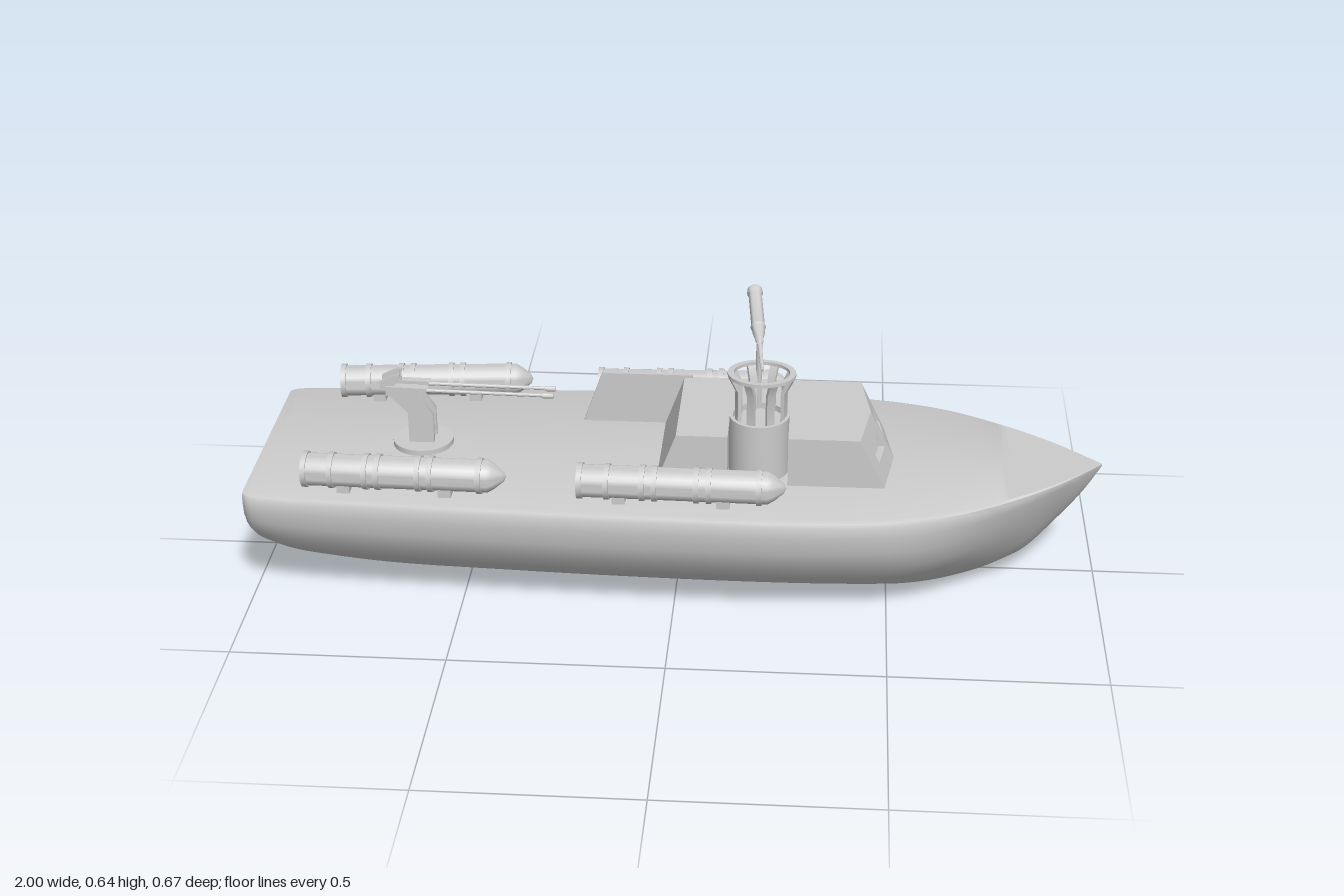
import * as THREE from 'three';
import { toCreasedNormals } from 'three/addons/utils/BufferGeometryUtils.js';

const V = (x, y, z) => new THREE.Vector3(x, y, z);
const material = new THREE.MeshStandardMaterial({ color: 0xcccccc, side: THREE.DoubleSide });

function part(name, geometry, parent) {
  const mesh = new THREE.Mesh(toCreasedNormals(geometry, 0.6), material);
  mesh.name = name;
  parent.add(mesh);
  return mesh;
}

// Flat outline in x,y extruded between two z values
function plate(name, points, z0, z1, parent) {
  const shape = new THREE.Shape(points.map(([x, y]) => new THREE.Vector2(x, y)));
  const geo = new THREE.ExtrudeGeometry(shape, { depth: z1 - z0, bevelEnabled: false });
  geo.translate(0, 0, z0);
  return part(name, geo, parent);
}

// Turned profile [radius, distance] laid along the line from a to b
function turned(name, profile, a, b, parent, sides = 24) {
  const geo = new THREE.LatheGeometry(profile.map(([r, d]) => new THREE.Vector2(r, d)), sides);
  const mesh = part(name, geo, parent);
  mesh.position.copy(a);
  mesh.quaternion.setFromUnitVectors(V(0, 1, 0), b.clone().sub(a).normalize());
  return mesh;
}

function rod(name, r, a, b, parent, sides = 12) {
  const d = a.distanceTo(b);
  return turned(name, [[0, 0], [r, 0], [r, d], [0, d]], a, b, parent, sides);
}

// Hull: midship section blending into a V towards the bow
function hull(parent) {
  const line = new THREE.CatmullRomCurve3([ // x, keel height, half beam
    [-1, 0.1, 0.272], [-0.985, 0.075, 0.285], [-0.93, 0.045, 0.293], [-0.75, 0.018, 0.303],
    [-0.4, 0.006, 0.318], [0, 0, 0.33], [0.3, 0, 0.331], [0.5, 0.003, 0.312],
    [0.65, 0.006, 0.268], [0.75, 0.018, 0.212], [0.82, 0.05, 0.165], [0.9, 0.14, 0.1],
    [0.96, 0.22, 0.042], [1, 0.288, 0.001]].map(p => V(...p)));
  const full = [[0, 0], [0.16, 0], [0.32, 0], [0.56, 0.17], [0.77, 0.35], [0.91, 0.52],
    [0.98, 0.7], [1, 0.85], [1, 0.95], [0.985, 0.985], [0.95, 1], [0, 1]];
  const vee = [[0, 0], [0.14, 0.08], [0.28, 0.17], [0.45, 0.32], [0.61, 0.48], [0.75, 0.63],
    [0.87, 0.78], [0.95, 0.89], [0.99, 0.96], [0.985, 0.985], [0.95, 1], [0, 1]];
  const last = full.length - 1, ring = 2 * last, stations = 78;
  const pos = [], index = [];
  for (let i = 0; i <= stations; i++) {
    const p = line.getPoint(i / stations);
    const bow = THREE.MathUtils.smoothstep(p.x, 0.5, 0.92);
    const deck = 0.289 + 0.0025 * (p.x + 1);
    for (let j = 0; j < ring; j++) {
      const k = j <= last ? j : ring - j, side = j <= last ? 1 : -1;
      const u = THREE.MathUtils.lerp(full[k][0], vee[k][0], bow);
      const v = THREE.MathUtils.lerp(full[k][1], vee[k][1], bow);
      pos.push(p.x, THREE.MathUtils.lerp(p.y, deck, v), side * u * p.z);
    }
  }
  for (let i = 0; i < stations; i++) {
    for (let j = 0; j < ring; j++) {
      const n = (j + 1) % ring, a = i * ring + j, c = i * ring + n;
      index.push(a, a + ring, c, a + ring, c + ring, c);
    }
  }
  // Transom
  const centre = pos.length / 3;
  pos.push(-1, 0.2, 0);
  for (let j = 0; j < ring; j++) index.push(centre, j, (j + 1) % ring);
  const geo = new THREE.BufferGeometry();
  geo.setAttribute('position', new THREE.Float32BufferAttribute(pos, 3));
  geo.setIndex(index);
  part('hull', geo, parent);
}

// Cabin: raked, slightly pointed front, notched on one side for the gun tub
function cabin(parent) {
  const g = new THREE.Group();
  g.name = 'cabin';
  parent.add(g);
  const roof = 0.414, base = 0.28;
  const sweep = mesh => {
    const p = mesh.geometry.attributes.position;
    for (let i = 0; i < p.count; i++) {
      if (p.getX(i) > 0.3) p.setX(i, p.getX(i) - 0.15 * Math.abs(p.getZ(i)));
    }
    mesh.geometry = toCreasedNormals(mesh.geometry, 0.1);
  };
  sweep(plate('cabinBody', [[-0.05, base], [0.5, base], [0.435, roof], [0, roof]], -0.155, 0, g));
  sweep(plate('cabinForwardCheek', [[0.26, base], [0.5, base], [0.435, roof], [0.26, roof]], 0, 0.155, g));
  plate('cabinAftCheek', [[-0.05, base], [0.12, base], [0.12, roof], [0, roof]], 0, 0.155, g);
  plate('tubRecessFloor', [[0.12, base], [0.26, base], [0.26, roof], [0.12, roof]], 0, 0.07, g);
  plate('wingWall', [[-0.25, base], [0.02, base], [0.02, 0.421], [-0.2, 0.421]], -0.158, -0.148, g);

  // Windscreen halves with recessed windows
  for (const side of [-1, 1]) {
    const quad = (Type, z0, z1, y0, y1) => new Type([[z0, y0], [z1, y0], [z1, y1], [z0, y1]]
      .map(([z, y]) => new THREE.Vector2(side * z, y)));
    const shape = quad(THREE.Shape, 0, 0.155, base, roof);
    shape.holes.push(quad(THREE.Path, 0.022, 0.106, 0.334, 0.375));
    const geo = new THREE.ExtrudeGeometry(shape, { depth: 0.015, bevelEnabled: false });
    geo.rotateY(Math.PI / 2); // shape x becomes -z
    const p = geo.attributes.position;
    for (let i = 0; i < p.count; i++) {
      const rake = 0.5 - (p.getY(i) - base) * 0.065 / (roof - base);
      p.setX(i, p.getX(i) + rake - 0.15 * Math.abs(p.getZ(i)));
    }
    part('windscreen', geo, g);
  }
}

// Gun tub with flared railing and a swivelling gun
function gunTub(parent) {
  const g = new THREE.Group();
  g.name = 'gunTub';
  parent.add(g);
  turned('tubWall', [[0, 0], [0.07, 0], [0.07, 0.155], [0.062, 0.155], [0.062, 0.14], [0, 0.14]],
    V(0.19, 0.28, 0.075), V(0.19, 1, 0.075), g, 32);
  const rail = new THREE.Group();
  rail.name = 'railing';
  rail.position.set(0.194, 0, 0.064);
  rail.scale.x = 1.17;
  g.add(rail);
  for (let i = 0; i < 8; i++) {
    const strut = plate('railingStrut', [[0.045, 0.42], [0.053, 0.42], [0.053, 0.497],
      [0.068, 0.532], [0.06, 0.534], [0.045, 0.5]], -0.008, 0.008, rail);
    strut.rotation.y = (i + 0.5) * Math.PI / 4;
  }
  turned('railingRing', [[0.056, 0], [0.068, 0], [0.068, 0.008], [0.056, 0.008], [0.056, 0]],
    V(0, 0.531, 0), V(0, 1, 0), rail, 32);

  rod('gunPost', 0.007, V(0.185, 0.415, 0.008), V(0.185, 0.588, 0.008), g);
  turned('tubGun', [[0, 0], [0.004, 0], [0.005, 0.1], [0.009, 0.112], [0.011, 0.13], [0.015, 0.15],
    [0.015, 0.164], [0.018, 0.17], [0.016, 0.178], [0.016, 0.302], [0.019, 0.308], [0.018, 0.32],
    [0, 0.32]], V(0.196, 0.565, 0.108), V(0.165, 0.626, -0.205), g);
}

// Twin gun on the after deck
function aftGun(parent) {
  const g = new THREE.Group();
  g.name = 'aftGun';
  g.position.z = -0.009;
  parent.add(g);
  rod('gunBase', 0.072, V(-0.62, 0.285, 0), V(-0.62, 0.303, 0), g, 32);
  for (const s of [-1, 1]) {
    plate('pedestalCheek', [[-0.65, 0.3], [-0.59, 0.3], [-0.59, 0.375], [-0.625, 0.428],
      [-0.7, 0.432], [-0.65, 0.38]], s * 0.02 - 0.006, s * 0.02 + 0.006, g);
    const z = s * 0.019;
    plate('receiver', [[-0.7, 0.426], [-0.61, 0.428], [-0.6, 0.447], [-0.7, 0.449]],
      z - 0.01, z + 0.01, g);
    plate('shoulderRest', [[-0.715, 0.436], [-0.69, 0.436], [-0.67, 0.462], [-0.665, 0.48],
      [-0.685, 0.474], [-0.715, 0.458]], z - 0.004, z + 0.004, g);
    rod('barrel', 0.0045, V(-0.61, 0.438, z), V(-0.3, 0.434, z), g);
    rod('muzzle', 0.0065, V(-0.325, 0.434, z), V(-0.3, 0.434, z), g);
  }
  plate('pedestalWeb', [[-0.65, 0.3], [-0.61, 0.3], [-0.61, 0.375], [-0.65, 0.38]], -0.016, 0.016, g);
  plate('gunCradle', [[-0.69, 0.425], [-0.63, 0.425], [-0.63, 0.44], [-0.69, 0.44]], -0.02, 0.02, g);
  rod('gunSight', 0.003, V(-0.67, 0.44, -0.012), V(-0.67, 0.48, -0.012), g, 8);
}

// Deck tube with conical nose and clamp bands
function deckTube(x0, z0, x1, z1, parent) {
  const g = new THREE.Group();
  g.name = 'deckTube';
  parent.add(g);
  const a = V(x0, 0.336, z0), b = V(x1, 0.34, z1), d = a.distanceTo(b), r = 0.038;
  turned('tubeBody', [[0, 0], [r, 0], [r, d - 0.042], [0.03, d - 0.028], [0.012, d - 0.006], [0, d]], a, b, g);
  for (const t of [0, 0.13, 0.3, 0.36, 0.56, 0.62, 0.86]) {
    rod('clampBand', r + 0.004, a.clone().lerp(b, t), a.clone().lerp(b, t + 0.026), g, 24);
  }
  // Saddles carrying the tube on the deck
  for (const t of [0.2, 0.7]) {
    const c = a.clone().lerp(b, t);
    plate('tubeSaddle', [[c.x - 0.015, 0.285], [c.x + 0.015, 0.285], [c.x + 0.015, 0.312],
      [c.x - 0.015, 0.312]], c.z - 0.025, c.z + 0.025, g);
  }
}

export function createModel() {
  const model = new THREE.Group();
  model.name = 'patrolBoat';
  hull(model);
  cabin(model);
  gunTub(model);
  aftGun(model);
  deckTube(-0.86, -0.235, -0.385, -0.27, model);
  deckTube(-0.22, -0.26, 0.26, -0.268, model);
  deckTube(-0.86, 0.23, -0.385, 0.245, model);
  deckTube(-0.22, 0.242, 0.26, 0.257, model);
  return model;
}
